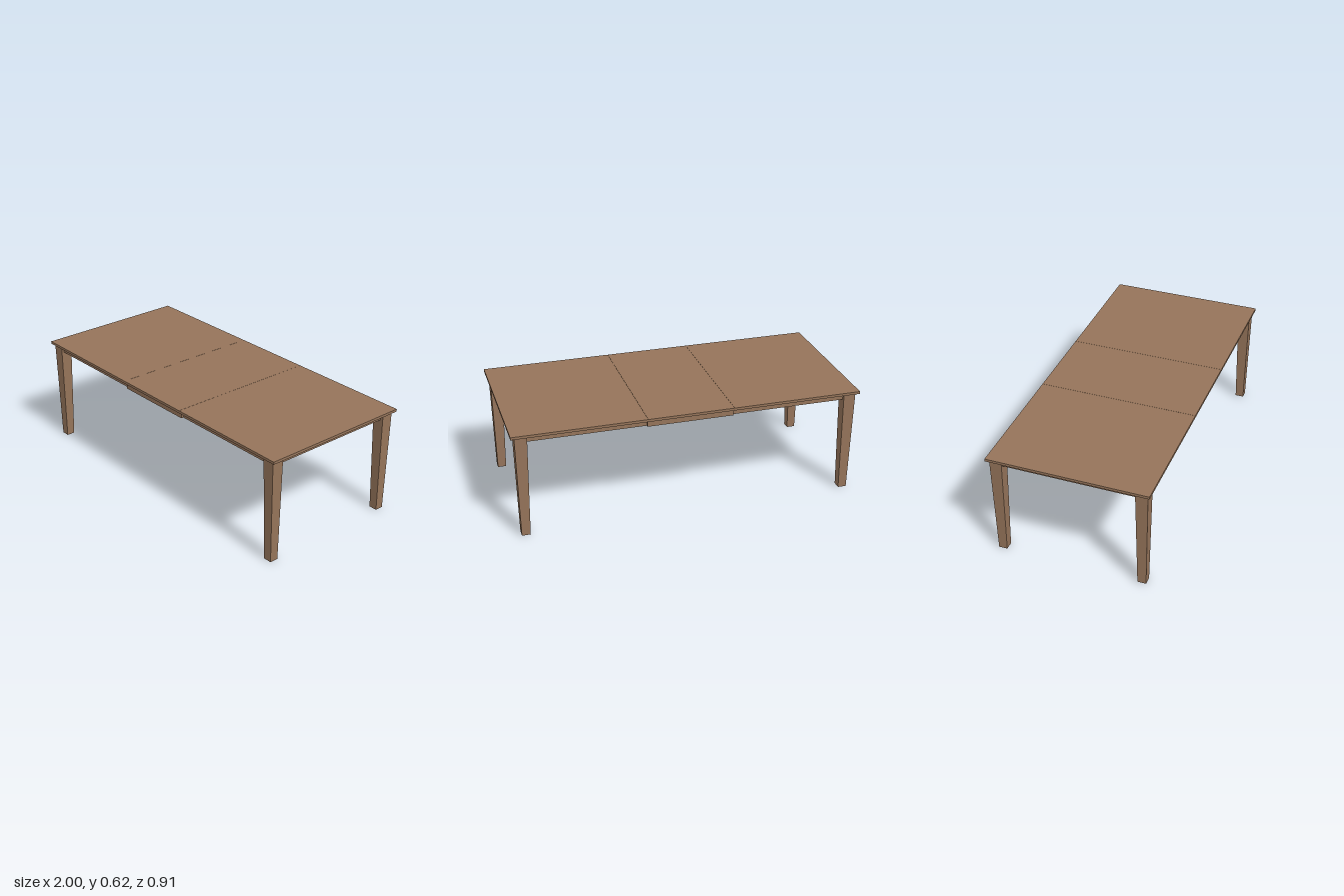
import * as THREE from 'three';

export function createModel() {
  const table = new THREE.Group();
  table.name = 'extendingTable';
  const wood = new THREE.MeshStandardMaterial({ color: 0x95745a });
  wood.name = 'brown wood';

  const topY = 0.625, underTop = 0.61, apronBottom = 0.573;
  const halfX = 1, halfZ = 0.457, split = 0.247, gap = 0.001;
  const legX = 0.944, legZ = 0.407, legTop = 0.07, legFoot = 0.049;

  // Box given by its lowest and highest corners
  function box(name, x0, x1, y0, y1, z0, z1) {
    const mesh = new THREE.Mesh(new THREE.BoxGeometry(x1 - x0, y1 - y0, z1 - z0), wood);
    mesh.position.set((x0 + x1) / 2, (y0 + y1) / 2, (z0 + z1) / 2);
    mesh.name = name;
    table.add(mesh);
  }

  // Tabletop: two end panels and a centre leaf
  box('rightPanel', -halfX, -split - gap, underTop, topY, -halfZ, halfZ);
  box('centreLeaf', -split, split, underTop, topY, -halfZ, halfZ);
  box('leftPanel', split + gap, halfX, underTop, topY, -halfZ, halfZ);

  // Square legs, tapered evenly towards the foot
  const legGeometry = new THREE.BoxGeometry(legTop, underTop, legTop);
  const p = legGeometry.attributes.position;
  for (let i = 0; i < p.count; i++) {
    if (p.getY(i) < 0) {
      p.setX(i, p.getX(i) * legFoot / legTop);
      p.setZ(i, p.getZ(i) * legFoot / legTop);
    }
  }
  legGeometry.computeVertexNormals();

  const inner = legX - legTop / 2 + 0.003;
  for (const sz of [-1, 1]) {
    const side = sz > 0 ? 'front' : 'back';
    for (const sx of [-1, 1]) {
      const hand = sx > 0 ? 'Left' : 'Right';
      const leg = new THREE.Mesh(legGeometry, wood);
      leg.position.set(sx * legX, underTop / 2, sz * legZ);
      leg.name = side + hand + 'Leg';
      table.add(leg);

      // Long apron from each leg to the leaf
      const xs = [sx * split, sx * inner].sort((a, b) => a - b);
      const zs = [sz * 0.406, sz * 0.426].sort((a, b) => a - b);
      box(side + hand + 'Apron', xs[0], xs[1], apronBottom, underTop, zs[0], zs[1]);
    }
    // Leaf apron stands slightly proud of its neighbours
    const zs = [sz * 0.42, sz * 0.44].sort((a, b) => a - b);
    box(side + 'LeafApron', -split, split, apronBottom, underTop, zs[0], zs[1]);
  }

  // Short aprons across the ends
  const endZ = legZ - legTop / 2 + 0.003;
  box('rightEndApron', -0.963, -0.943, apronBottom, underTop, -endZ, endZ);
  box('leftEndApron', 0.943, 0.963, apronBottom, underTop, -endZ, endZ);

  return table;
}
